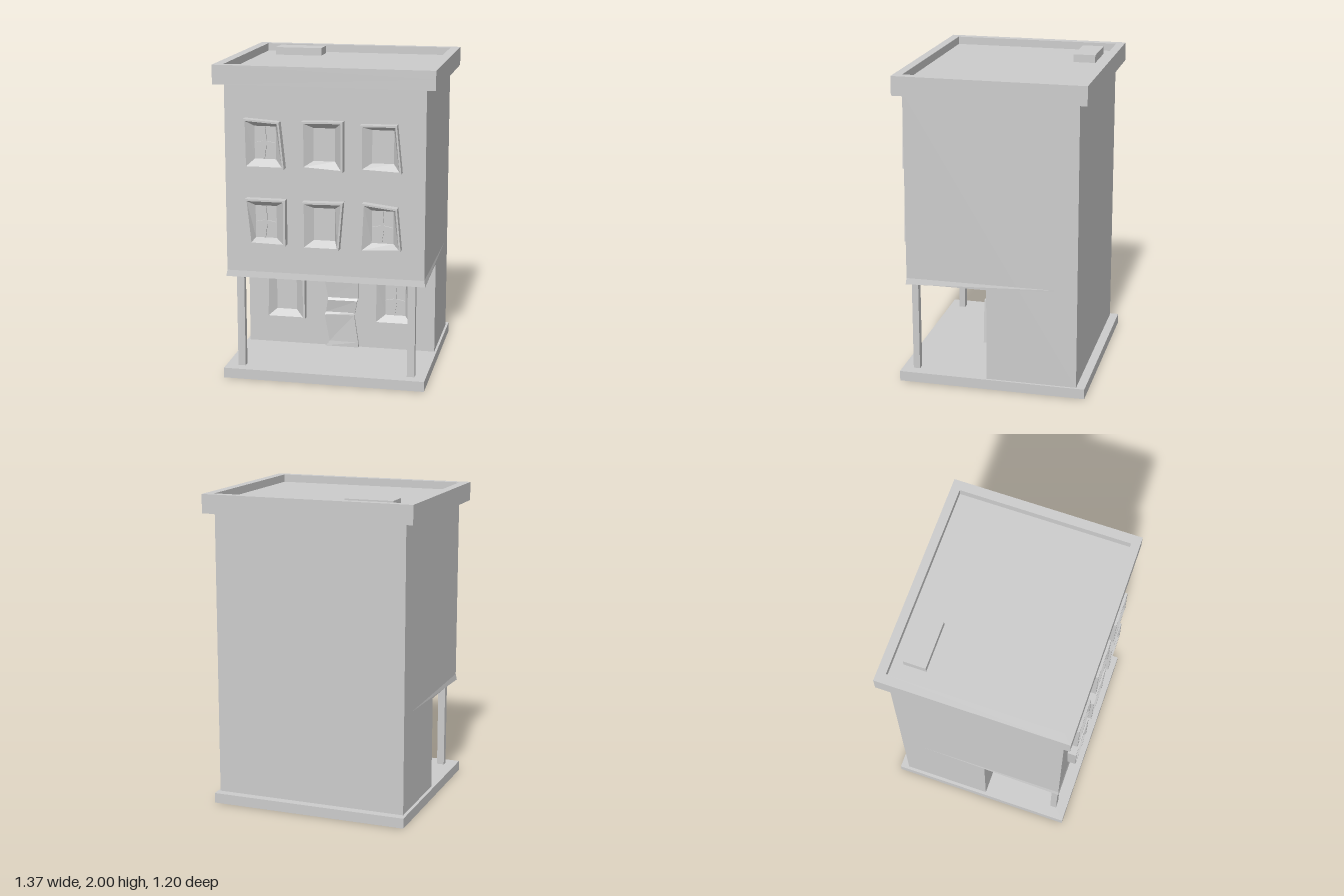
import * as THREE from 'three';

// Skin of quads through four-cornered rings, closed at the last ring.
function loft(rings) {
  const pos = [];
  const quad = (a, b, c, d) => pos.push(...a, ...b, ...c, ...a, ...c, ...d);
  for (let i = 0; i < rings.length - 1; i++) {
    for (let j = 0; j < 4; j++) {
      const k = (j + 1) % 4;
      quad(rings[i][j], rings[i][k], rings[i + 1][k], rings[i + 1][j]);
    }
  }
  quad(...rings[rings.length - 1]);
  const g = new THREE.BufferGeometry();
  g.setAttribute('position', new THREE.Float32BufferAttribute(pos, 3));
  g.computeVertexNormals();
  return g;
}

// Box given by its limits on each axis.
function block(x0, x1, y0, y1, z0, z1) {
  return new THREE.BoxGeometry(x1 - x0, y1 - y0, z1 - z0)
    .translate((x0 + x1) / 2, (y0 + y1) / 2, (z0 + z1) / 2);
}

function polygon(points) {
  return new THREE.Shape(points.map(p => new THREE.Vector2(...p)));
}

export function createModel() {
  const model = new THREE.Group();
  model.name = 'house';
  const plaster = new THREE.MeshStandardMaterial({ color: 0xcccccc });
  plaster.name = 'grey plaster';
  const add = (name, geometry, parent = model) => {
    const mesh = new THREE.Mesh(geometry, plaster);
    mesh.name = name;
    parent.add(mesh);
    return mesh;
  };

  // Plinth, and the body with its upper floors overhanging the porch
  add('plinth', block(-0.645, 0.64, 0, 0.065, -0.6, 0.6));
  const profile = polygon([[-0.545, 0.06], [0.03, 0.06], [0.03, 0.664],
    [0.545, 0.664], [0.545, 1.89], [-0.545, 1.89]]);
  add('body', new THREE.ExtrudeGeometry(profile, { depth: 1.25, bevelEnabled: false })
    .rotateY(-Math.PI / 2).translate(0.625, 0, 0));

  // Flared lip under the overhang, fading out towards the back
  const lipRing = (x, y, z, backY) =>
    [[-0.625, backY, -0.4], [0.625, backY, -0.4], [x, y, z], [-x, y, z]];
  add('overhangLip', loft([lipRing(0.625, 0.7, 0.545, 0.7), lipRing(0.632, 0.66, 0.55, 0.69)]));

  // Porch posts
  for (const s of [-1, 1]) {
    add(s > 0 ? 'leftPost' : 'rightPost',
      block(s * 0.545 - 0.024, s * 0.545 + 0.024, 0.06, 0.67, 0.488, 0.53));
  }

  // Flat roof with parapet and roof box
  add('roofSlab', block(-0.685, 0.685, 1.88, 1.95, -0.6, 0.595));
  const parapet = polygon([[-0.685, -0.595], [0.685, -0.595], [0.685, 0.6], [-0.685, 0.6]]);
  parapet.holes.push(polygon([[-0.625, -0.54], [-0.625, 0.545], [0.625, 0.545], [0.625, -0.54]]));
  add('parapet', new THREE.ExtrudeGeometry(parapet, { depth: 0.05, bevelEnabled: false })
    .rotateX(-Math.PI / 2).translate(0, 1.95, 0));
  add('roofBox', block(-0.52, -0.21, 1.945, 2, -0.48, -0.34));

  // Crooked windows: outline corners run bottom left, bottom right, top right, top left
  const windows = [
    { c: [-0.367, 1.525], z: 0.545, cross: true, o: [[-0.49, 1.37], [-0.24, 1.37], [-0.27, 1.66], [-0.495, 1.675]] },
    { c: [0.002, 1.525], z: 0.545, o: [[-0.13, 1.38], [0.125, 1.365], [0.125, 1.675], [-0.13, 1.67]] },
    { c: [0.365, 1.525], z: 0.545, o: [[0.23, 1.38], [0.485, 1.37], [0.455, 1.665], [0.23, 1.66]] },
    { c: [-0.367, 1.027], z: 0.545, cross: true, o: [[-0.46, 0.89], [-0.235, 0.885], [-0.235, 1.175], [-0.49, 1.175]] },
    { c: [0.002, 1.027], z: 0.545, o: [[-0.13, 0.875], [0.1, 0.875], [0.125, 1.175], [-0.13, 1.17]] },
    { c: [0.365, 1.027], z: 0.545, cross: true, o: [[0.23, 0.875], [0.485, 0.89], [0.46, 1.155], [0.245, 1.18]] },
    { c: [-0.367, 0.403], z: 0.03, o: [[-0.495, 0.25], [-0.235, 0.25], [-0.235, 0.55], [-0.49, 0.55]] },
    { c: [0.365, 0.403], z: 0.03, cross: true, o: [[0.23, 0.25], [0.485, 0.25], [0.46, 0.53], [0.235, 0.535]] },
  ];
  const star = polygon([[0.065, 0], [0.01, 0.012], [0.003, 0.1], [-0.01, 0.012],
    [-0.065, 0], [-0.01, -0.012], [-0.003, -0.1], [0.01, -0.012]]);
  for (const { c: [cx, cy], z, cross, o } of windows) {
    const group = new THREE.Group();
    group.name = 'window';
    const ring = (points, dz) => points.map(p => [p[0], p[1], z + dz]);
    const rim = o.map(([x, y]) => [x + (cx - x) * 0.1, y + (cy - y) * 0.08]);
    const pane = [[-1, -1], [1, -1], [1, 1], [-1, 1]]
      .map(([sx, sy]) => [cx + sx * 0.067, cy + sy * 0.102]);
    add('windowFrame', loft([ring(o, -0.005), ring(o, 0.055), ring(rim, 0.055), ring(pane, 0.006)]), group);
    if (cross) {
      add('windowBars', new THREE.ExtrudeGeometry(star, { depth: 0.012, bevelEnabled: false })
        .translate(cx, cy, z + 0.005), group);
    }
    model.add(group);
  }

  // Warped door with two sloping ledges: height, left x, right x, front z at each side
  const doorRows = [
    [0.065, -0.1, 0.12, 0.05, 0.05], [0.1, -0.075, 0.118, 0.046, 0.05],
    [0.285, -0.105, 0.09, 0.06, 0.045], [0.3, -0.1, 0.095, 0.042, 0.042],
    [0.385, -0.085, 0.11, 0.056, 0.05], [0.4, -0.085, 0.115, 0.042, 0.04],
    [0.515, -0.105, 0.115, 0.05, 0.046],
  ];
  add('door', loft(doorRows.map(([y, x0, x1, z0, z1]) =>
    [[x0, y, z0], [x1, y, z1], [x1, y, 0.025], [x0, y, 0.025]])));

  return model;
}
